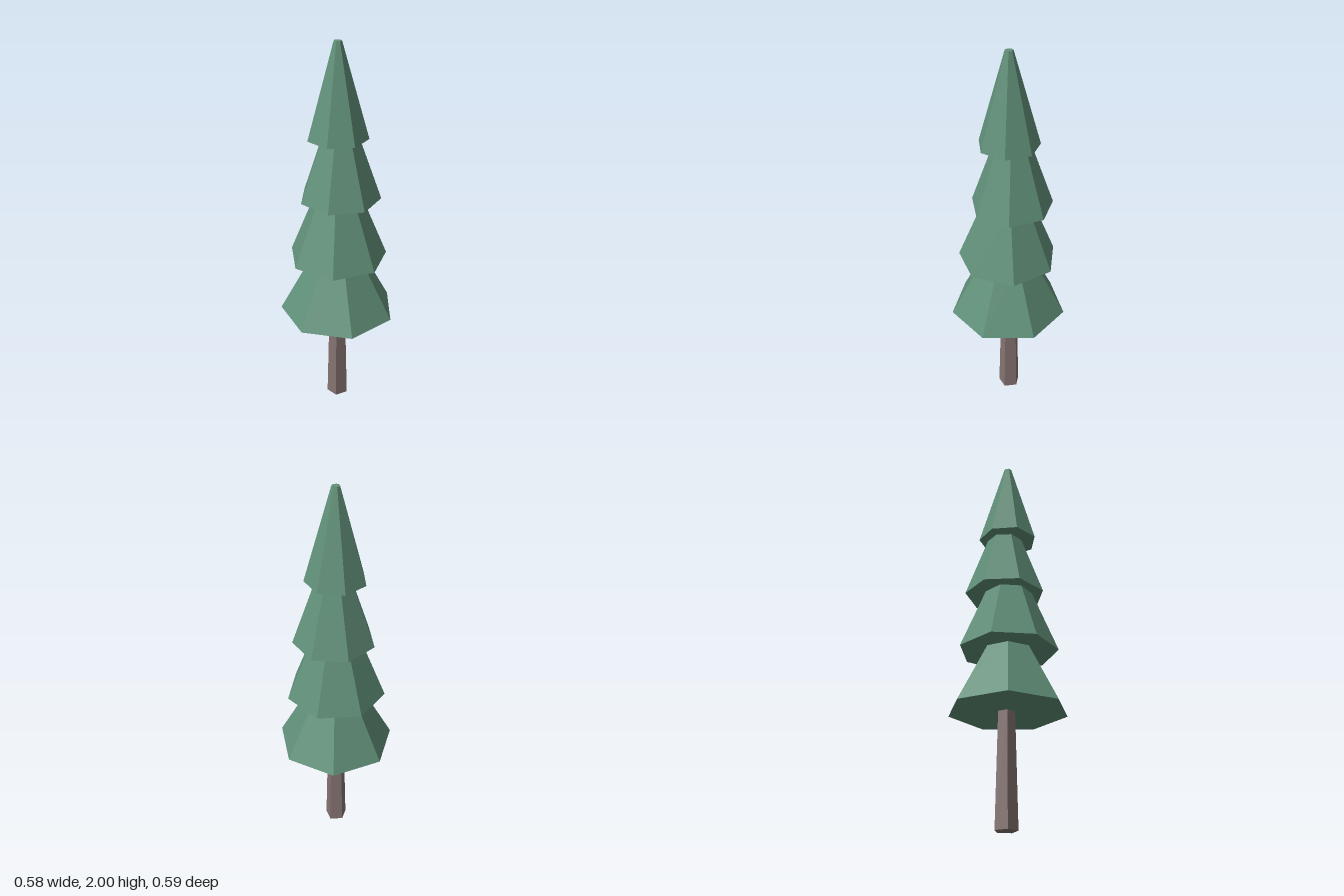
import * as THREE from 'three';

const rad = THREE.MathUtils.degToRad;
const bark = new THREE.MeshStandardMaterial({ color: 0x857370, flatShading: true });
const needles = new THREE.MeshStandardMaterial({ color: 0x619079, flatShading: true });

// Faceted tapered prism standing on y0, turned by an angle in degrees
function taper(name, material, sides, rBottom, rTop, y0, y1, x, z, turn) {
  const mesh = new THREE.Mesh(new THREE.CylinderGeometry(rTop, rBottom, y1 - y0, sides), material);
  mesh.name = name;
  mesh.position.set(x, (y0 + y1) / 2, z);
  mesh.rotation.y = rad(turn);
  return mesh;
}

export function createModel() {
  const tree = new THREE.Group();
  tree.name = 'pineTree';

  // Five-sided trunk
  tree.add(taper('trunk', bark, 5, 0.058, 0.043, 0, 0.6, 0.018, -0.01, 9));

  // Seven-sided foliage tiers, each reaching slightly into the one above:
  // bottom radius, top radius, bottom y, top y, x, z, turn
  const tiers = [
    [0.302, 0.115, 0.57, 0.92, 0.012, -0.004, 11],
    [0.253, 0.112, 0.89, 1.24, 0.01, -0.004, -8.1],
    [0.206, 0.082, 1.212, 1.565, 0.032, -0.007, -18.9],
    [0.152, 0.02, 1.535, 2, 0.013, -0.007, -21.8],
  ];
  tiers.forEach((t, i) => tree.add(taper(`foliageTier${i + 1}`, needles, 7, ...t)));

  return tree;
}
